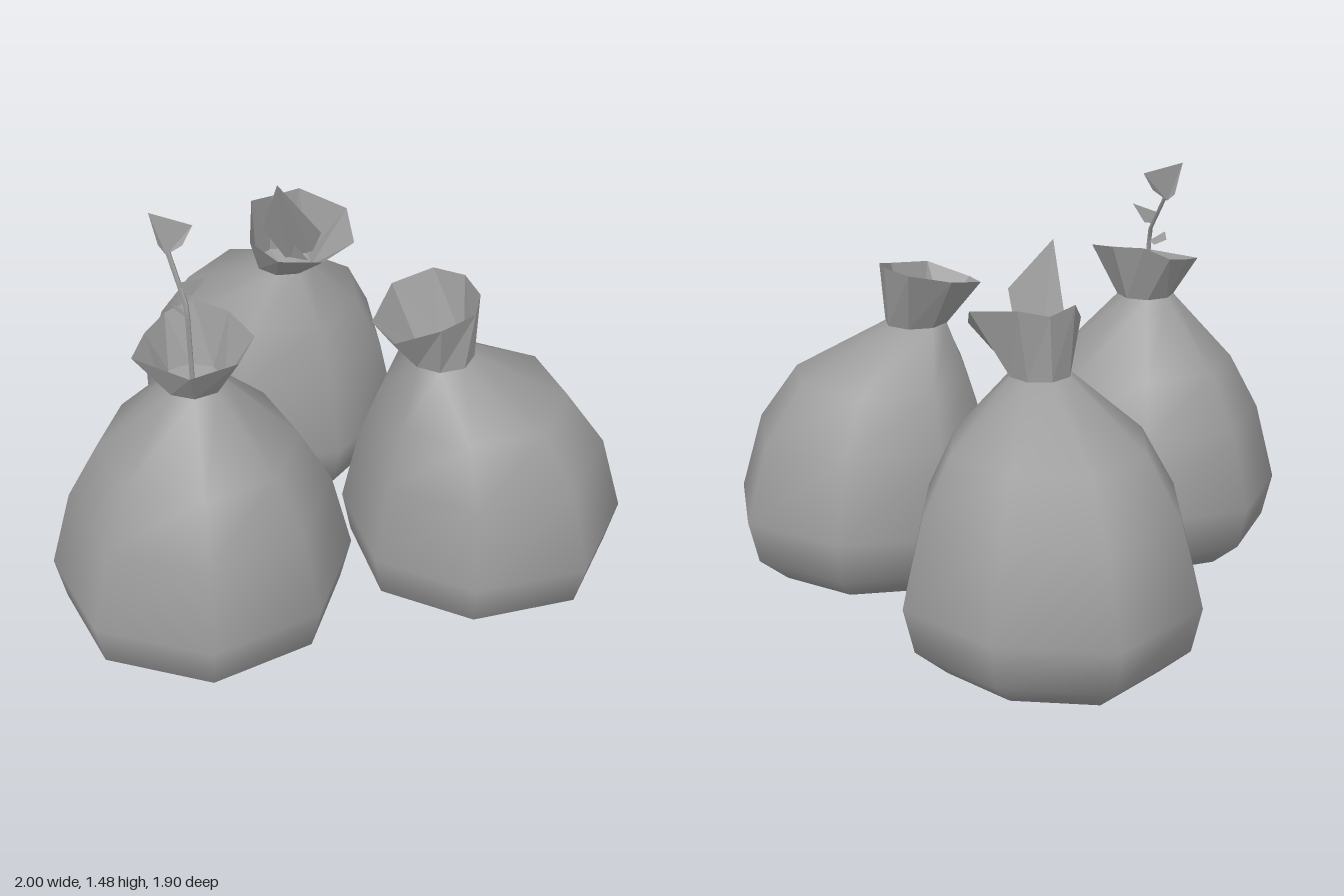
import * as THREE from 'three';
import { mergeVertices } from 'three/addons/utils/BufferGeometryUtils.js';

const grey = new THREE.MeshStandardMaterial({ color: 0x9c9c9c, side: THREE.DoubleSide });
grey.name = 'grey cloth';

// Skin of quads through closed rings of points, listed from bottom to top
function loft(rings, smooth) {
  const pos = [];
  for (let i = 0; i < rings.length - 1; i++) {
    const lo = rings[i], hi = rings[i + 1], n = lo.length;
    for (let k = 0; k < n; k++) {
      const m = (k + 1) % n;
      pos.push(...lo[k], ...hi[k], ...lo[m], ...lo[m], ...hi[k], ...hi[m]);
    }
  }
  return finish(pos, smooth);
}

function finish(pos, smooth) {
  let geo = new THREE.BufferGeometry();
  geo.setAttribute('position', new THREE.Float32BufferAttribute(pos, 3));
  if (smooth) geo = mergeVertices(geo, 1e-4);
  geo.computeVertexNormals();
  return geo;
}

// Flat sheet: a fan over its corner points
function sheet(points) {
  const pos = [];
  for (let i = 1; i < points.length - 1; i++) pos.push(...points[0], ...points[i], ...points[i + 1]);
  return finish(pos, false);
}

function add(group, name, geo) {
  const mesh = new THREE.Mesh(geo, grey);
  mesh.name = name;
  group.add(mesh);
}

// Body profile: height, width factor, lean towards the neck
const PROFILE = [[0, 0, 0], [0.05, 0.72, 0], [0.14, 0.93, 0], [0.29, 1, 0], [0.56, 0.86, 0.08], [0.75, 0.65, 0.3]];

// Each sack: widest outline (x, z), neck centre and radius, open rim (x, y, z)
const SACKS = [
  {
    name: 'leftBackSack', centre: [-0.49, -0.28], neck: [-0.32, 0.93, -0.23], radius: 0.1,
    outline: [[-1, -0.34], [-0.78, -0.65], [-0.43, -0.77], [-0.11, -0.59], [0.01, -0.24], [-0.17, 0.1], [-0.54, 0.21], [-0.87, 0.03]],
    rim: [[-0.42, 1.14, -0.25], [-0.38, 1.16, -0.34], [-0.21, 1.13, -0.42], [-0.1, 1.06, -0.37],
      [-0.08, 1.04, -0.22], [-0.17, 1.04, -0.1], [-0.28, 1.08, -0.06], [-0.4, 1.16, -0.15]],
  },
  {
    name: 'rightBackSack', centre: [0.5, -0.46], neck: [0.45, 0.92, -0.3], radius: 0.11,
    outline: [[-0.01, -0.4], [0.12, -0.76], [0.45, -0.95], [0.81, -0.84], [1, -0.5], [0.87, -0.14], [0.56, 0.03], [0.21, -0.1]],
    rim: [[0.24, 1.1, -0.26], [0.28, 1.13, -0.4], [0.39, 1.14, -0.44], [0.5, 1.13, -0.41],
      [0.56, 1.11, -0.34], [0.56, 1.1, -0.2], [0.47, 1.05, -0.08], [0.34, 1.06, -0.1]],
  },
  {
    name: 'frontSack', centre: [0.19, 0.46], neck: [0.19, 0.98, 0.48], radius: 0.1,
    outline: [[-0.29, 0.61], [-0.23, 0.24], [0.04, -0.03], [0.43, 0.03], [0.66, 0.33], [0.62, 0.71], [0.31, 0.95], [-0.06, 0.89]],
    rim: [[0.02, 1.14, 0.47], [0.06, 1.18, 0.39], [0.17, 1.17, 0.33], [0.31, 1.15, 0.33],
      [0.37, 1.12, 0.43], [0.33, 1.1, 0.58], [0.13, 1.1, 0.66], [0.06, 1.12, 0.57]],
  },
];

function makeSack({ name, centre, neck, radius, outline, rim }) {
  const group = new THREE.Group();
  group.name = name;
  const [cx, cz] = centre;

  const rings = PROFILE.map(([y, f, lean]) => outline.map(([x, z]) => [
    cx + (x - cx) * f + (neck[0] - cx) * lean, y, cz + (z - cz) * f + (neck[2] - cz) * lean,
  ]));
  const neckRing = outline.map(([x, z]) => {
    const d = Math.hypot(x - cx, z - cz);
    return [neck[0] + (x - cx) / d * radius, neck[1], neck[2] + (z - cz) / d * radius];
  });
  add(group, 'body', loft([...rings, neckRing], true));

  // Flared collar with a puckered floor inside
  const floor = outline.map(() => [neck[0], neck[1] - 0.03, neck[2]]);
  add(group, 'collar', loft([neckRing, rim], false));
  add(group, 'collarFloor', loft([neckRing, floor], false));
  return group;
}

export function createModel() {
  const model = new THREE.Group();
  model.name = 'sacks';
  for (const sack of SACKS) model.add(makeSack(sack));

  // Torn paper standing in the left sack
  const paper = new THREE.Group();
  paper.name = 'paperScrap';
  add(paper, 'tallSheet', sheet([[-0.19, 1.32, -0.11], [-0.32, 1.09, -0.14], [-0.28, 0.97, -0.21], [-0.15, 1.05, -0.23], [-0.09, 1.15, -0.22]]));
  add(paper, 'lowSheet', sheet([[-0.35, 1.07, -0.22], [-0.28, 0.97, -0.22], [-0.12, 1.04, -0.19]]));
  model.add(paper);

  // Sprout growing from the front sack
  const sprout = new THREE.Group();
  sprout.name = 'sprout';
  const path = new THREE.CurvePath();
  const joints = [[0.17, 0.96, 0.47], [0.145, 1.22, 0.465], [0.04, 1.36, 0.46]].map(p => new THREE.Vector3(...p));
  path.add(new THREE.LineCurve3(joints[0], joints[1]));
  path.add(new THREE.LineCurve3(joints[1], joints[2]));
  add(sprout, 'stem', new THREE.TubeGeometry(path, 8, 0.009, 4));
  add(sprout, 'topLeaf', sheet([[0.03, 1.345, 0.46], [0.06, 1.38, 0.42], [0.065, 1.44, 0.385], [-0.015, 1.48, 0.49], [0, 1.37, 0.47]]));
  add(sprout, 'middleLeaf', sheet([[0.115, 1.25, 0.465], [0.14, 1.25, 0.44], [0.17, 1.315, 0.41], [0.11, 1.29, 0.47]]));
  add(sprout, 'lowLeaf', sheet([[0.15, 1.18, 0.465], [0.1, 1.22, 0.5], [0.06, 1.2, 0.48], [0.09, 1.18, 0.45]]));
  model.add(sprout);
  return model;
}
